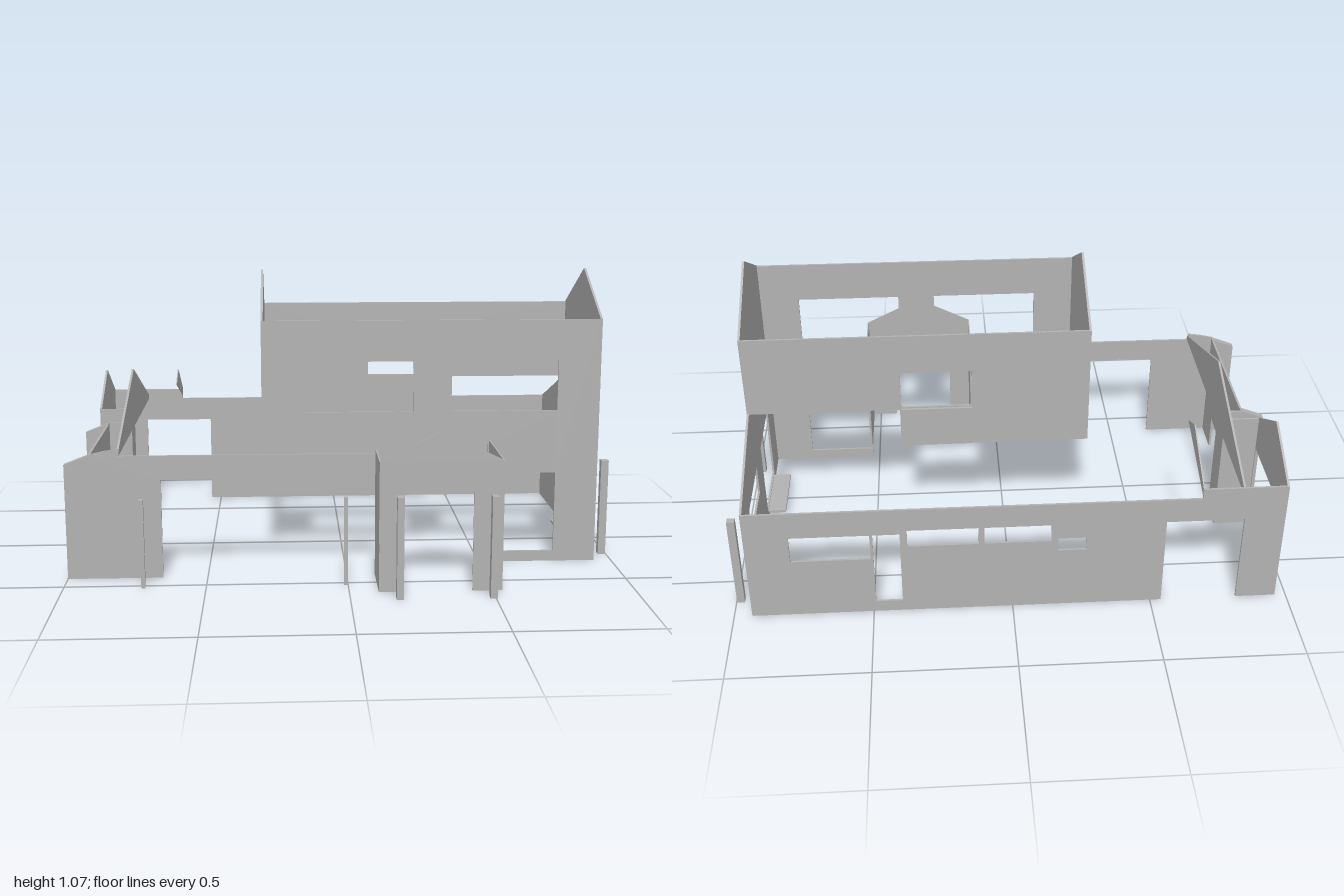
import * as THREE from 'three';

const T = 0.008; // wall thickness

export function createModel() {
  const house = new THREE.Group();
  house.name = 'houseShell';
  const plaster = new THREE.MeshStandardMaterial({ color: 0xb2b2b2 });
  plaster.name = 'plasterGrey';

  const rect = (a, b, y0, y1) => [[a, y0], [b, y0], [b, y1], [a, y1]];
  const vectors = (pts) => pts.map(([u, y]) => new THREE.Vector2(u, y));

  // Flat wall with openings: outline is (x, y) when facing z, (z, y) when facing x
  function wall(name, axis, pos, outline, holes = [], t = T) {
    const shape = new THREE.Shape(vectors(outline));
    holes.forEach((h) => shape.holes.push(new THREE.Path(vectors(rect(...h)))));
    const mesh = new THREE.Mesh(
      new THREE.ExtrudeGeometry(shape, { depth: t, bevelEnabled: false }), plaster);
    if (axis === 'x') {
      mesh.rotation.y = -Math.PI / 2;
      mesh.position.x = pos + t / 2;
    } else mesh.position.z = pos - t / 2;
    mesh.name = name;
    house.add(mesh);
  }

  function box(name, x0, x1, y0, y1, z0, z1) {
    const mesh = new THREE.Mesh(new THREE.BoxGeometry(x1 - x0, y1 - y0, z1 - z0), plaster);
    mesh.position.set((x0 + x1) / 2, (y0 + y1) / 2, (z0 + z1) / 2);
    mesh.name = name;
    house.add(mesh);
  }

  // Two-storey block
  wall('mainFrontWall', 'z', 0.28,
    [[-0.3, 0.45], [0.527, 0.45], [0.527, 0], [0.93, 0], [0.93, 0.91], [-0.3, 0.91]],
    [[-0.145, 0.25, 0.575, 0.76], [0.39, 0.78, 0.575, 0.76], [0.535, 0.78, 0.04, 0.34]]);
  wall('upperBackWall', 'z', -0.296,
    [[-0.3, 0.45], [0.385, 0.45], [0.385, 0.605], [0.93, 0.605], [0.93, 0.91], [-0.3, 0.91]],
    [[0.125, 0.38, 0.615, 0.76]]);
  wall('upperLeftGable', 'x', -0.298,
    [[0.284, 0.45], [0.284, 0.91], [0, 1.07], [-0.3, 0.91], [-0.3, 0.45]]);
  wall('rightGableWall', 'x', 0.932,
    [[0.284, 0], [0.284, 0.91], [0, 1.07], [-0.3, 0.91], [-0.292, 0.605], [-0.69, 0.45], [-0.69, 0]],
    [[-0.135, 0.132, 0.04, 0.345], [-0.53, -0.267, 0.235, 0.35]]);
  box('backWindowPanel', 0.125, 0.38, 0.455, 0.61, -0.31, -0.298);
  box('doorStep', 0.86, 0.927, 0.03, 0.04, -0.13, 0.11);

  // Long back wall, raised below the small cross gable
  wall('backWall', 'z', -0.688,
    [[-0.96, 0], [-0.815, 0], [-0.815, 0.355], [-0.54, 0.355], [-0.54, 0], [0.93, 0],
      [0.93, 0.45], [-0.66, 0.45], [-0.66, 0.49], [-0.96, 0.49]],
    [[0.5, 0.78, 0.24, 0.345], [0.395, 0.49, 0.045, 0.345], [0.12, 0.37, 0.29, 0.36],
      [-0.135, 0.1, 0.29, 0.36], [-0.26, -0.16, 0.247, 0.3]]);

  // Front wall with its long lintel
  wall('frontWall', 'z', 0.408,
    [[-0.915, 0], [-0.66, 0], [-0.66, 0.362], [0.105, 0.362], [0.105, 0.45], [-0.915, 0.45]]);

  // Roof gables over the left wing
  wall('leftRoofGable', 'x', -0.81, [[0.41, 0.45], [0.41, 0.467], [-0.14, 0.67], [-0.69, 0.465], [-0.69, 0.45]]);
  wall('crossGable', 'x', -0.66, [[-0.69, 0.465], [-0.69, 0.495], [-0.47, 0.613], [-0.375, 0.568]], [], 0.004);

  // Left wing walls
  wall('leftRearGableWall', 'x', -0.956,
    [[-0.69, 0], [-0.69, 0.49], [-0.47, 0.613], [-0.26, 0.49], [-0.26, 0]],
    [[-0.535, -0.27, 0.04, 0.355]]);
  wall('leftReturnWall', 'z', -0.26, rect(-0.956, -0.822, 0, 0.488));
  wall('leftRecessWall', 'x', -0.826, rect(-0.26, -0.155, 0, 0.488));
  wall('leftSideWall', 'x', -0.914,
    [[-0.155, 0], [0.01, 0], [0.01, 0.135], [0.27, 0.135], [0.27, 0], [0.41, 0], [0.41, 0.45], [-0.155, 0.45]]);
  const finOutline = [[-1, 0], [-0.91, 0], [-0.91, 0.455], [-1, 0.42]];
  wall('leftFrontFin', 'z', 0.4, finOutline, [], 0.024);
  wall('leftRearFin', 'z', -0.143, finOutline, [], 0.024);
  wall('leftRearFinReturn', 'z', -0.157, rect(-0.915, -0.822, 0, 0.455));
  wall('leftEaveGusset', 'z', 0.408, [[-0.915, 0.45], [-0.81, 0.45], [-0.81, 0.475], [-0.86, 0.468], [-0.915, 0.455]]);

  // Entrance porch
  wall('porchFront', 'z', 0.603,
    [[0.103, 0], [0.19, 0], [0.19, 0.355], [0.43, 0.355], [0.43, 0], [0.535, 0],
      [0.535, 0.465], [0.317, 0.572], [0.103, 0.465]], [], 0.005);
  wall('porchLeftWall', 'x', 0.105, rect(0.41, 0.603, 0, 0.465), [], 0.005);
  wall('porchRightWall', 'x', 0.533, rect(0.28, 0.603, 0, 0.465), [], 0.005);

  // Free-standing posts: x, z, half width x, half width z, height
  [[0.17, 0.672, 0.012, 0.016, 0.36], [0.493, 0.672, 0.012, 0.016, 0.36],
    [-0.72, 0.52, 0.007, 0.007, 0.32], [-0.008, 0.52, 0.007, 0.007, 0.32],
    [0.984, 0.2, 0.014, 0.013, 0.365], [0.984, -0.605, 0.014, 0.013, 0.365],
  ].forEach(([x, z, w, d, h]) => box('post', x - w, x + w, 0, h, z - d, z + d));

  return house;
}
